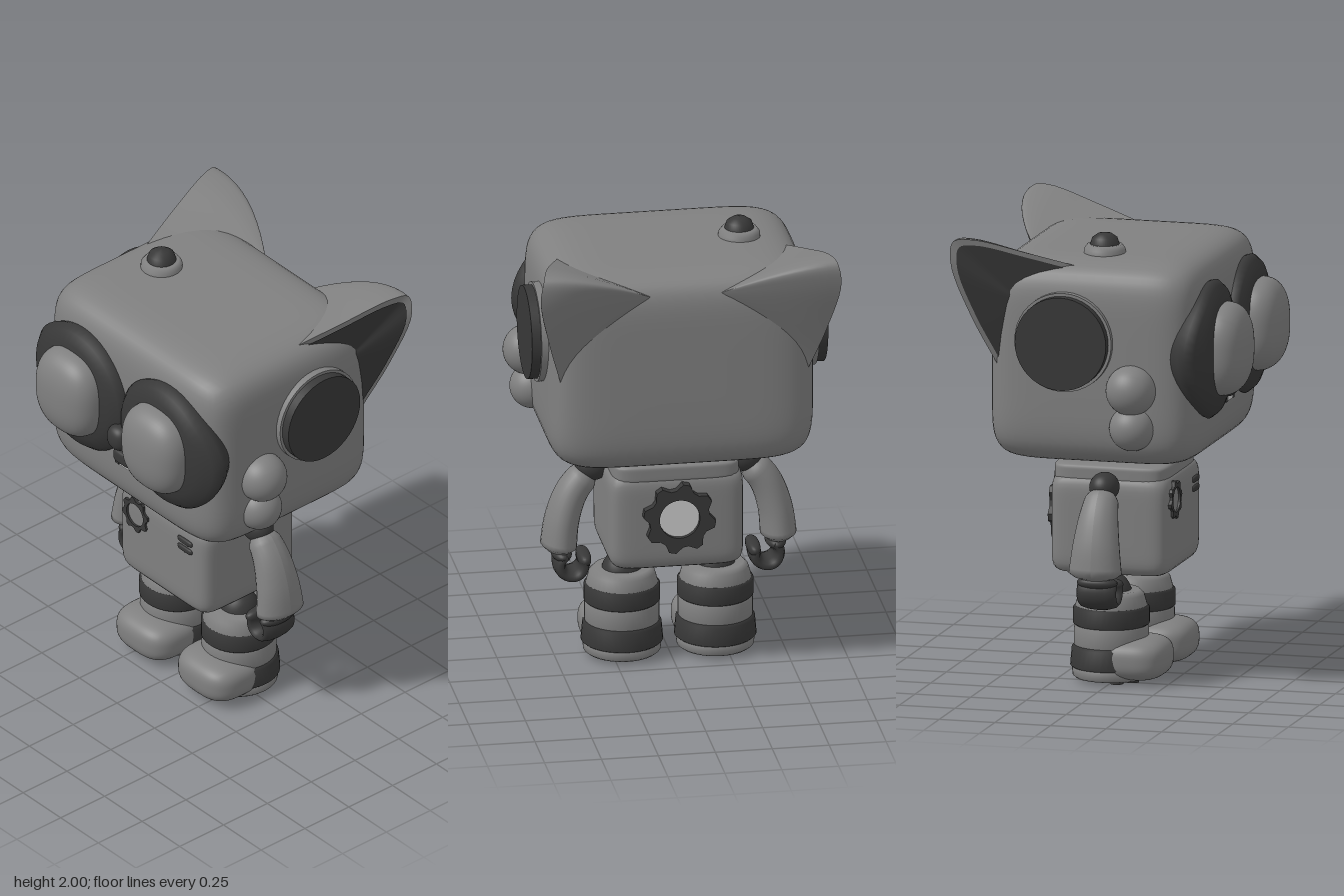
import * as THREE from 'three';
import { mergeVertices } from 'three/addons/utils/BufferGeometryUtils.js';

const mat = (name, color, side = THREE.FrontSide) => {
  const m = new THREE.MeshStandardMaterial({ color, side });
  m.name = name;
  return m;
};

export function createModel() {
  const grey = mat('body grey', 0x808080, THREE.DoubleSide);
  const dark = mat('dark grey', 0x383838, THREE.DoubleSide);
  const light = mat('light grey', 0xcccccc);
  const model = new THREE.Group();
  model.name = 'robotCat';

  const add = (parent, name, geo, material, x = 0, y = 0, z = 0) => {
    const m = new THREE.Mesh(geo, material);
    m.name = name;
    m.position.set(x, y, z);
    parent.add(m);
    return m;
  };

  // Rounded block: a cube pushed onto a superellipsoid (p = 2 is an ellipsoid)
  const blob = (hx, hy, hz, p = 2, n = 12) => {
    let g = new THREE.BoxGeometry(2, 2, 2, n, n, n);
    g.deleteAttribute('normal');
    g.deleteAttribute('uv');
    g = mergeVertices(g, 1e-4);
    const a = g.attributes.position;
    for (let i = 0; i < a.count; i++) {
      const v = [a.getX(i), a.getY(i), a.getZ(i)];
      const r = Math.pow(v.reduce((s, c) => s + Math.abs(c) ** p, 0), 1 / p);
      a.setXYZ(i, v[0] / r * hx, v[1] / r * hy, v[2] / r * hz);
    }
    g.computeVertexNormals();
    return g;
  };

  // Grid of points f(i, j) as a smooth surface
  const grid = (nu, nv, f) => {
    const pos = [], idx = [];
    for (let i = 0; i <= nu; i++) for (let j = 0; j <= nv; j++) pos.push(...f(i / nu, j / nv));
    for (let i = 0; i < nu; i++) for (let j = 0; j < nv; j++) {
      const a = i * (nv + 1) + j, b = a + nv + 1;
      idx.push(a, b, a + 1, b, b + 1, a + 1);
    }
    const g = new THREE.BufferGeometry();
    g.setAttribute('position', new THREE.Float32BufferAttribute(pos, 3));
    g.setIndex(idx);
    g.computeVertexNormals();
    return g;
  };

  const lathe = (pts, n = 40) =>
    new THREE.LatheGeometry(pts.map(([x, y]) => new THREE.Vector2(x, y)), n);
  const disc = (r, h, n = 40) => new THREE.CylinderGeometry(r, r, h, n);

  const gear = (r, hole, depth) => {
    const s = new THREE.Shape();
    for (let i = 0; i < 32; i++) {
      const a = (i + 0.5) / 32 * Math.PI * 2, q = i % 4 < 2 ? r : r * 0.83;
      s[i ? 'lineTo' : 'moveTo'](Math.cos(a) * q, Math.sin(a) * q);
    }
    s.holes.push(new THREE.Path().absarc(0, 0, hole, 0, Math.PI * 2, true));
    return new THREE.ExtrudeGeometry(s, { depth, bevelEnabled: false, curveSegments: 24 });
  };

  // Head, neck and torso
  add(model, 'head', blob(0.585, 0.455, 0.475, 7, 28), grey, 0, 1.455, -0.025);
  add(model, 'neck', disc(0.12, 0.12), dark, 0, 0.98, 0);
  add(model, 'torso', blob(0.297, 0.225, 0.268, 9, 20), grey, 0, 0.692, -0.015);
  add(model, 'torsoLid', blob(0.28, 0.045, 0.255, 8, 16), grey, 0, 0.915, -0.02);
  add(model, 'pelvis', blob(0.14, 0.07, 0.14), dark, 0, 0.5, -0.01);

  // Nose and mouth
  add(model, 'nose', blob(0.056, 0.06, 0.05, 2.3), dark, 0, 1.4, 0.485);
  add(model, 'mouth', blob(0.062, 0.032, 0.03, 4), dark, 0, 1.275, 0.45);
  add(model, 'tooth', new THREE.BoxGeometry(0.07, 0.028, 0.008), light, 0, 1.235, 0.452);
  for (const s of [-1, 1])
    add(model, 'fang', new THREE.BoxGeometry(0.025, 0.03, 0.009), dark, s * 0.052, 1.235, 0.452);

  // Antenna button on the crown
  add(model, 'antennaBase', lathe([[0.092, 0], [0.09, 0.025], [0.075, 0.045], [0, 0.046]]),
    grey, -0.31, 1.9, -0.02);
  add(model, 'antennaKnob', lathe([[0.066, 0], [0.066, 0.03], [0.055, 0.065], [0.03, 0.083], [0, 0.088]]),
    dark, -0.31, 1.908, -0.02);

  // Chest and back details
  add(model, 'chestGear', gear(0.086, 0.055, 0.03), dark, -0.16, 0.8, 0.232);
  for (const y of [0.83, 0.79])
    add(model, 'chestSlot', blob(0.047, 0.014, 0.016, 4, 8), dark, 0.165, y, 0.247);
  add(model, 'backGear', gear(0.16, 0.088, 0.05), dark, 0, 0.72, -0.32);
  add(model, 'backLight', disc(0.09, 0.03), light, 0, 0.72, -0.285).rotation.x = Math.PI / 2;

  // Everything that comes in pairs, built on +x and mirrored
  const half = new THREE.Group();
  half.name = 'leftParts';

  // Eye and its mask ring, bent round the face
  const mask = lathe([[0.26, -0.1], [0.29, -0.04], [0.303, 0], [0.28, 0.028],
    [0.23, 0.05], [0.15, 0.065], [0, 0.07]], 48).rotateX(Math.PI / 2);
  const mp = mask.attributes.position;
  for (let i = 0; i < mp.count; i++) {
    const x = mp.getX(i), o = Math.max(0, x - 0.15) / 0.15;
    mp.setX(i, x + 0.025 * o * o);
    mp.setZ(i, mp.getZ(i) - 0.035 * o * o);
  }
  mask.computeVertexNormals();
  add(half, 'eyeMask', mask, dark, 0.288, 1.503, 0.457);
  add(half, 'eye', blob(0.183, 0.203, 0.128, 2.5, 16), grey, 0.285, 1.507, 0.502);

  // Cheek balls and side disc
  add(half, 'cheekUpper', blob(0.11, 0.11, 0.11), grey, 0.585, 1.36, 0.175);
  add(half, 'cheekLower', blob(0.1, 0.1, 0.1), grey, 0.565, 1.19, 0.175);
  add(half, 'sideDiscRim', disc(0.218, 0.12), grey, 0.55, 1.56, -0.125).rotation.z = Math.PI / 2;
  add(half, 'sideDisc', disc(0.205, 0.08), dark, 0.61, 1.56, -0.125).rotation.z = Math.PI / 2;

  // Ear: a flat outer face, with a curved back drawn in to a point on the crown
  const V = (x, y, z) => new THREE.Vector3(x, y, z);
  const rim = new THREE.CatmullRomCurve3([V(0.49, 1.87, -0.06), V(0.56, 1.935, -0.29), V(0.625, 1.995, -0.53),
    V(0.645, 1.985, -0.61), V(0.66, 1.89, -0.615), V(0.61, 1.66, -0.54), V(0.545, 1.44, -0.44)]);
  const root = V(0.14, 1.82, -0.47), bulge = V(0.0, 0.07, -0.1);
  add(half, 'ear', grid(32, 10, (u, v) => {
    const p = rim.getPoint(u);
    const k = p.clone().lerp(root, 0.45).addScaledVector(bulge, Math.sin(Math.PI * u));
    return new THREE.QuadraticBezierCurve3(p, k, root).getPoint(v).toArray();
  }), grey);
  const mid = V(0.545, 1.72, -0.33), out = V(0.95, -0.1, 0.3);
  const face = (v0, lift) => grid(32, 3, (u, v) =>
    mid.clone().lerp(rim.getPoint(u), v * v0).addScaledVector(out, lift).toArray());
  add(half, 'earFace', face(1, 0), grey);
  add(half, 'earInner', face(0.91, 0.006), dark);

  // Arm: elliptical sections along a bent path
  add(half, 'shoulder', blob(0.075, 0.065, 0.065), dark, 0.335, 0.875, -0.015);
  const path = new THREE.CatmullRomCurve3([V(0.335, 0.87, -0.015), V(0.42, 0.77, -0.015),
    V(0.467, 0.64, -0.015), V(0.486, 0.48, -0.015)]);
  add(half, 'arm', grid(24, 24, (u, v) => {
    const p = path.getPoint(u), t = path.getTangent(u), a = v * Math.PI * 2;
    const end = Math.min(1, Math.sqrt(u / 0.15)) * Math.min(1, Math.sqrt((1 - u) / 0.08));
    const w = (0.066 + 0.014 * u) * end * Math.cos(a), d = (0.065 + 0.058 * u) * end * Math.sin(a);
    return [p.x - t.y * w, p.y + t.x * w, p.z + d];
  }), grey);

  // Hook hand
  const hook = new THREE.TorusGeometry(0.054, 0.027, 12, 28, Math.PI * 1.5)
    .rotateZ(Math.PI * 0.85).scale(1, 1, 3.3);
  add(half, 'hand', hook, dark, 0.428, 0.432, -0.01);
  add(half, 'fingertip', blob(0.029, 0.029, 0.09, 2.5, 8), dark, 0.372, 0.455, -0.01);
  add(half, 'wrist', blob(0.045, 0.03, 0.09), dark, 0.47, 0.478, -0.01);

  // Leg: stacked bands
  const lx = 0.205, lz = -0.02;
  add(half, 'hip', blob(0.09, 0.1, 0.09), dark, lx, 0.375, lz);
  const band = (name, m, r, y0, y1, top = r) => add(half, name,
    lathe([[0, y0], [r - 0.012, y0], [r, y0 + 0.01], [top, y1 - 0.02], [top - 0.02, y1], [0, y1]]), m, lx, 0, lz);
  band('legTop', grey, 0.16, 0.31, 0.4, 0.143);
  band('legUpperBand', dark, 0.166, 0.243, 0.342);
  band('legMiddle', grey, 0.163, 0.15, 0.26);
  band('legLowerBand', dark, 0.179, 0.058, 0.168, 0.172);
  band('legSole', grey, 0.168, 0.014, 0.08, 0.172);
  add(half, 'foot', blob(0.17, 0.094, 0.155, 3, 16), grey, lx, 0.108, 0.088);

  // Paw pads under the sole
  add(half, 'heelPad', gear(0.065, 0.03, 0.022).rotateX(-Math.PI / 2), dark, lx, 0, -0.04);
  for (const [dx, z] of [[-0.09, 0.03], [-0.035, 0.085], [0.035, 0.085], [0.09, 0.03]])
    add(half, 'toePad', disc(0.028, 0.024, 20), dark, lx + dx, 0.012, z);

  const other = half.clone();
  other.name = 'rightParts';
  other.scale.x = -1;
  model.add(half, other);
  return model;
}
